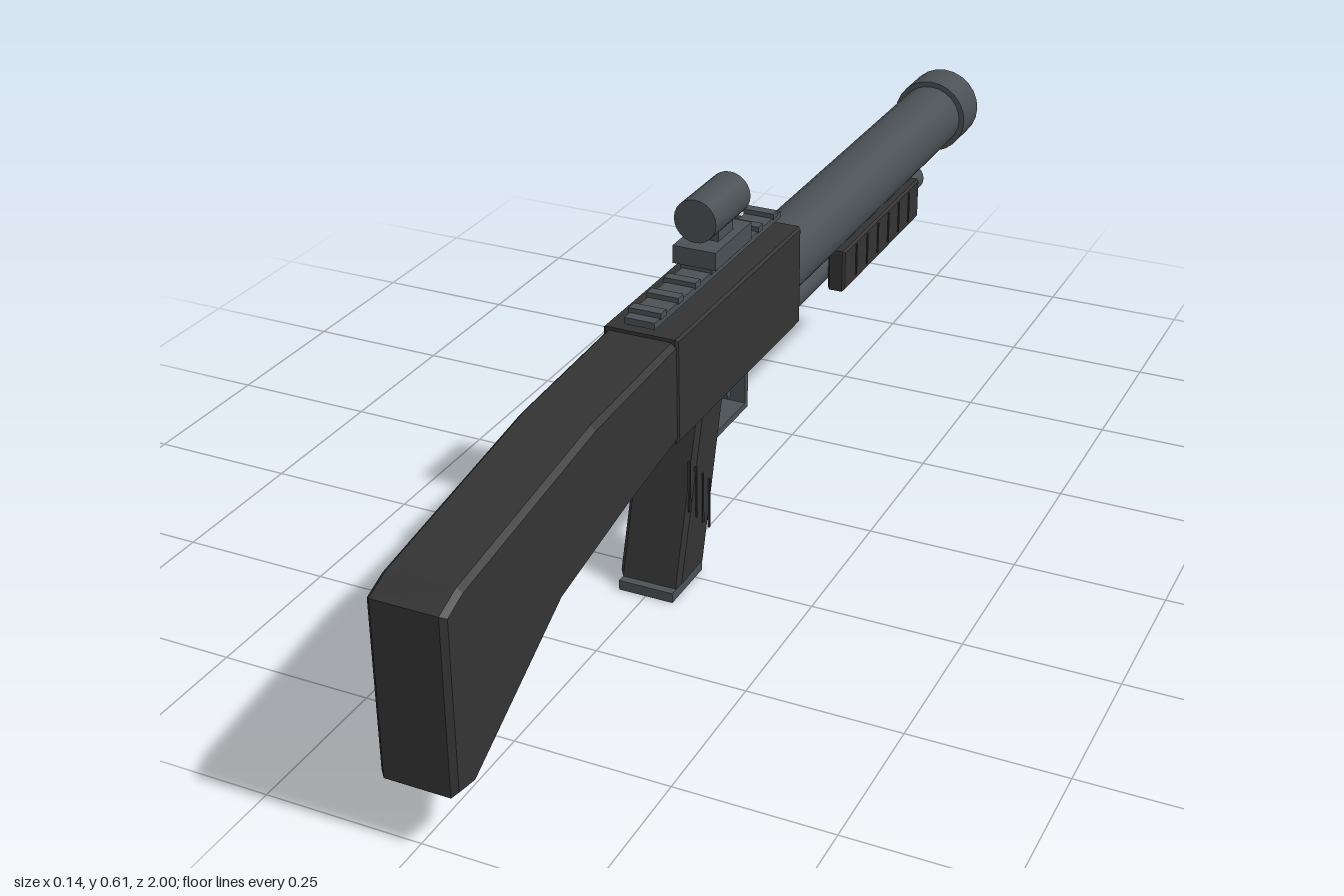
import * as THREE from 'three';

const body = new THREE.MeshStandardMaterial({ name: 'charcoal polymer', color: 0x333333 });
const metal = new THREE.MeshStandardMaterial({ name: 'gunmetal', color: 0x4a5054 });

export function createModel() {
  const root = new THREE.Group();
  root.name = 'shotgun';

  function add(name, geometry, material) {
    const mesh = new THREE.Mesh(geometry, material);
    mesh.name = name;
    root.add(mesh);
    return mesh;
  }

  // Box given by its lower and upper corners
  function box(name, material, [x0, y0, z0], [x1, y1, z1]) {
    const g = new THREE.BoxGeometry(x1 - x0, y1 - y0, z1 - z0);
    g.translate((x0 + x1) / 2, (y0 + y1) / 2, (z0 + z1) / 2);
    return add(name, g, material);
  }

  // Side profile of [z, y] points, chamfered and centred on x
  function profile(name, material, points, halfWidth, bevel, x = 0) {
    const shape = new THREE.Shape(points.map(([z, y]) => new THREE.Vector2(z, y)));
    const depth = 2 * (halfWidth - bevel);
    const g = new THREE.ExtrudeGeometry(shape, {
      depth, bevelEnabled: true, bevelThickness: bevel, bevelSize: bevel,
      bevelOffset: -bevel, bevelSegments: 1,
    });
    g.translate(0, 0, -depth / 2);
    g.rotateY(-Math.PI / 2);
    g.translate(x, 0, 0);
    return add(name, g, material);
  }

  // Cylinder running along z
  function rod(name, radius, y, z0, z1, sides = 24) {
    const g = new THREE.CylinderGeometry(radius, radius, z1 - z0, sides);
    g.rotateX(Math.PI / 2);
    g.translate(0, y, (z0 + z1) / 2);
    return add(name, g, metal);
  }

  // Receiver and stock
  profile('receiver', body, [[-0.13, 0.29], [0.335, 0.29], [0.335, 0.465], [-0.13, 0.465]], 0.0625, 0.004);
  profile('stock', body, [
    [0.32, 0.292], [0.5, 0.265], [0.7, 0.225], [0.95, 0.083], [1, 0.092],
    [1, 0.375], [0.955, 0.393], [0.59, 0.447], [0.32, 0.46],
  ], 0.06, 0.008);

  // Barrel, muzzle ring and magazine tube
  rod('barrel', 0.061, 0.378, -1, -0.12);
  rod('muzzleRing', 0.071, 0.378, -0.996, -0.917);
  rod('magazineTube', 0.027, 0.287, -0.82, -0.12, 20);

  // Sliding fore-end: a plate on each side of the tube
  for (const side of [-1, 1]) {
    profile(side > 0 ? 'foreEndLeft' : 'foreEndRight', body,
      [[-0.7, 0.26], [-0.33, 0.26], [-0.33, 0.337], [-0.7, 0.337]], 0.016, 0.004, side * 0.045);
  }
  for (let i = 0; i < 6; i++) {
    const z = -0.385 - i * 0.052;
    box('foreEndRib', body, [0.06, 0.272, z - 0.002], [0.063, 0.33, z + 0.002]);
  }

  // Pistol grip with base plate and side ribs
  profile('grip', body, [[0.23, 0.018], [0.32, 0.018], [0.235, 0.295], [0.15, 0.295]], 0.053, 0.007);
  box('gripBase', metal, [-0.047, 0, 0.225], [0.047, 0.017, 0.333]);
  for (let i = 0; i < 4; i++) {
    const z = 0.28 - i * 0.0233;
    const y = 0.185 - i * 0.022;
    box('gripRib', body, [0.051, y - 0.045, z - 0.002], [0.055, y + 0.045, z + 0.002]);
  }

  // Trigger and guard
  box('guardBottom', metal, [-0.02, 0.178, -0.012], [0.02, 0.189, 0.19]);
  box('guardFront', metal, [-0.02, 0.178, -0.012], [0.02, 0.295, -0.001]);
  const trigger = box('trigger', metal, [-0.009, -0.04, -0.006], [0.009, 0.04, 0.006]);
  trigger.position.set(0, 0.253, 0.05);
  trigger.rotation.x = 0.35;

  // Top rail with evenly spaced teeth
  box('rail', metal, [-0.025, 0.475, -0.13], [0.025, 0.486, 0.335]);
  for (let i = 0; i < 8; i++) {
    const z = 0.308 - i * 0.059;
    box('railTooth', metal, [-0.027, 0.484, z - 0.009], [0.027, 0.494, z + 0.009]);
  }

  // Sight
  box('sightMount', metal, [-0.037, 0.495, 0.013], [0.037, 0.525, 0.147]);
  box('sightNeck', metal, [-0.022, 0.52, 0.05], [0.022, 0.545, 0.105]);
  rod('sightTube', 0.036, 0.57, 0.015, 0.143);

  return root;
}
